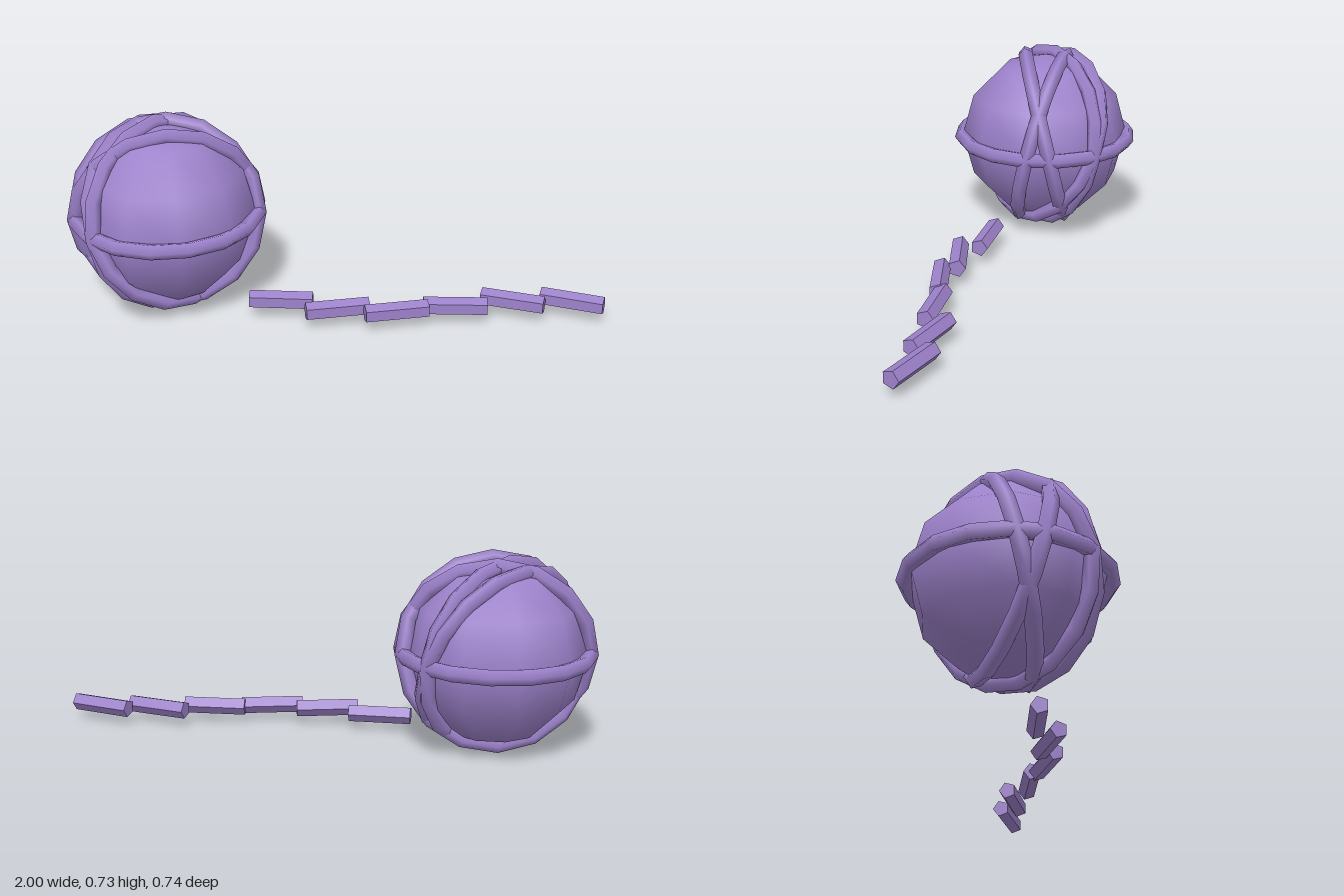
import * as THREE from 'three';

export function createModel() {
  const model = new THREE.Group();
  const yarn = new THREE.MeshStandardMaterial({ color: 0x9d82cb });
  yarn.name = 'lavender yarn';

  const add = (parent, name, geometry) => {
    const mesh = new THREE.Mesh(geometry, yarn);
    mesh.name = name;
    parent.add(mesh);
    return mesh;
  };

  // Ball with a low-poly core
  const ball = new THREE.Group();
  ball.name = 'yarnBall';
  ball.position.set(-0.631, 0.36, 0);
  model.add(ball);
  add(ball, 'core', new THREE.SphereGeometry(0.335, 10, 6));

  // Wound strands: each ring is spanned by a side direction and a top direction
  const strand = new THREE.TorusGeometry(0.339, 0.03, 5, 16);
  const windings = [
    [[1, 0, 0], [0, 0, -1]],
    [[0.957, 0, -0.29], [0.067, 0.973, 0.22]],
    [[1, 0, -0.03], [-0.007, 0.973, -0.23]],
    [[0.66, 0, -0.75], [-0.29, 0.923, -0.255]],
    [[0.66, 0, -0.75], [-0.12, 0.987, -0.106]],
  ];
  windings.forEach(([side, top], i) => {
    const e = new THREE.Vector3(...side).normalize();
    const n = e.clone().cross(new THREE.Vector3(...top)).normalize();
    const t = n.clone().cross(e);
    add(ball, `strand${i + 1}`, strand)
      .quaternion.setFromRotationMatrix(new THREE.Matrix4().makeBasis(e, t, n));
  });

  // Loose tail: five-sided rods lying along x, with flat faces
  const tail = new THREE.Group();
  tail.name = 'looseTail';
  model.add(tail);
  const rod = new THREE.CylinderGeometry(0.034, 0.034, 0.235, 5)
    .rotateY(Math.PI).rotateZ(Math.PI / 2).toNonIndexed();
  rod.computeVertexNormals();
  // x, z, turn in degrees
  [
    [-0.2, 0.12, 0],
    [0.012, 0.173, 14],
    [0.229, 0.177, 14],
    [0.443, 0.127, 2],
    [0.656, 0.073, -14],
    [0.876, 0.06, -16],
  ].forEach(([x, z, turn], i) => {
    const mesh = add(tail, `tailSegment${i + 1}`, rod);
    mesh.position.set(x, 0.062, z);
    mesh.rotation.y = THREE.MathUtils.degToRad(turn);
  });

  return model;
}
